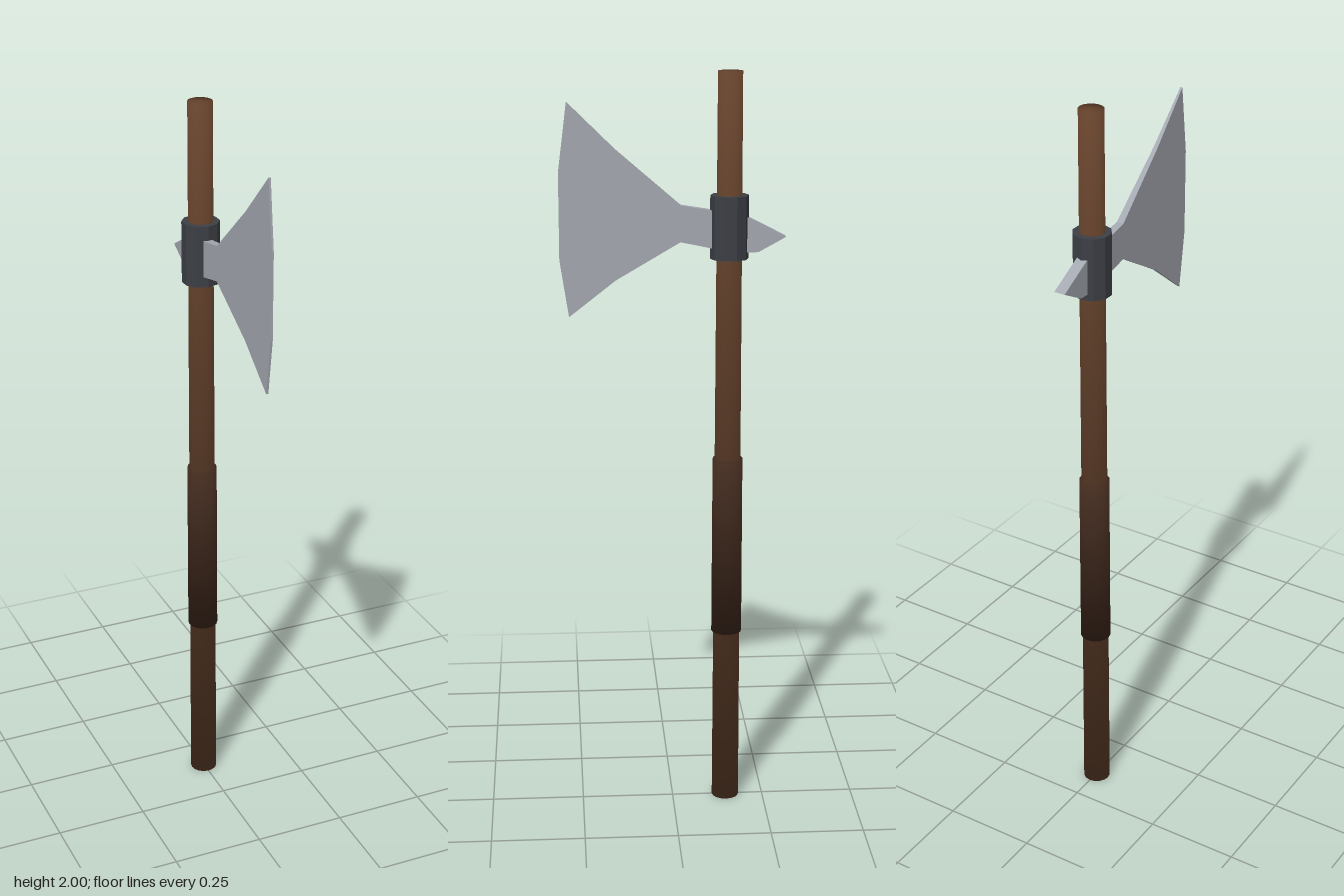
import * as THREE from 'three';

const SHAFT_Z = -0.147;

const material = (color, flatShading = false) => {
  const m = new THREE.MeshStandardMaterial({ flatShading });
  m.color.set(color);
  return m;
};

// Upright cylinder on the shaft axis; soft ones round their normals over the rims.
function post(name, rTop, rBottom, y0, y1, sides, mat, soft) {
  const geo = new THREE.CylinderGeometry(rTop, rBottom, y1 - y0, sides);
  if (soft) {
    const { position: p, normal: n } = geo.attributes;
    const v = new THREE.Vector3();
    for (let i = 0; i < p.count; i++) {
      const r = p.getY(i) > 0 ? rTop : rBottom;
      v.set(p.getX(i) / r, Math.sign(p.getY(i)), p.getZ(i) / r).normalize();
      n.setXYZ(i, v.x, v.y, v.z);
    }
  }
  const mesh = new THREE.Mesh(geo, mat);
  mesh.name = name;
  mesh.position.set(0, (y0 + y1) / 2, SHAFT_Z);
  return mesh;
}

// Plate with a [z, y] outline whose half thickness follows z.
function plate(name, outline, halfThickness, mat) {
  const shape = new THREE.Shape(outline.map(([z, y]) => new THREE.Vector2(z, y)));
  const geo = new THREE.ExtrudeGeometry(shape, { depth: 2, bevelEnabled: false });
  geo.translate(0, 0, -1).rotateY(-Math.PI / 2);
  const p = geo.attributes.position;
  for (let i = 0; i < p.count; i++) p.setX(i, p.getX(i) * halfThickness(p.getZ(i)));
  geo.computeVertexNormals();
  const mesh = new THREE.Mesh(geo, mat);
  mesh.name = name;
  return mesh;
}

export function createModel() {
  const axe = new THREE.Group();
  axe.name = 'axe';

  const wood = material(0x62402a);
  const leather = material(0x40291d);
  const iron = material(0x3c3f45, true);
  const steel = material(0xa4a8b0, true);

  // Tapered handle, wrapped grip and ten-sided collar
  axe.add(post('shaft', 0.032, 0.037, 0, 2, 16, wood, true));
  axe.add(post('grip', 0.04, 0.041, 0.49, 0.98, 16, leather, true));
  axe.add(post('collar', 0.05, 0.05, 1.52, 1.685, 10, iron, false));

  // Flared blade, thinning to its cutting edge
  const blade = [
    [-0.14, 1.54], [-0.02, 1.565], [0.148, 1.466], [0.27, 1.37], [0.293, 1.52],
    [0.293, 1.746], [0.27, 1.925], [0.148, 1.805], [-0.02, 1.66], [-0.14, 1.64],
  ];
  axe.add(plate('blade', blade, (z) => 0.0025 + (0.293 - z) * 0.0235, steel));

  // Wedge-shaped back spike of even width
  const spike = [
    [-0.15, 1.535], [-0.222, 1.538], [-0.293, 1.577], [-0.226, 1.612], [-0.15, 1.65],
  ];
  axe.add(plate('backSpike', spike, () => 0.015, steel));

  return axe;
}
